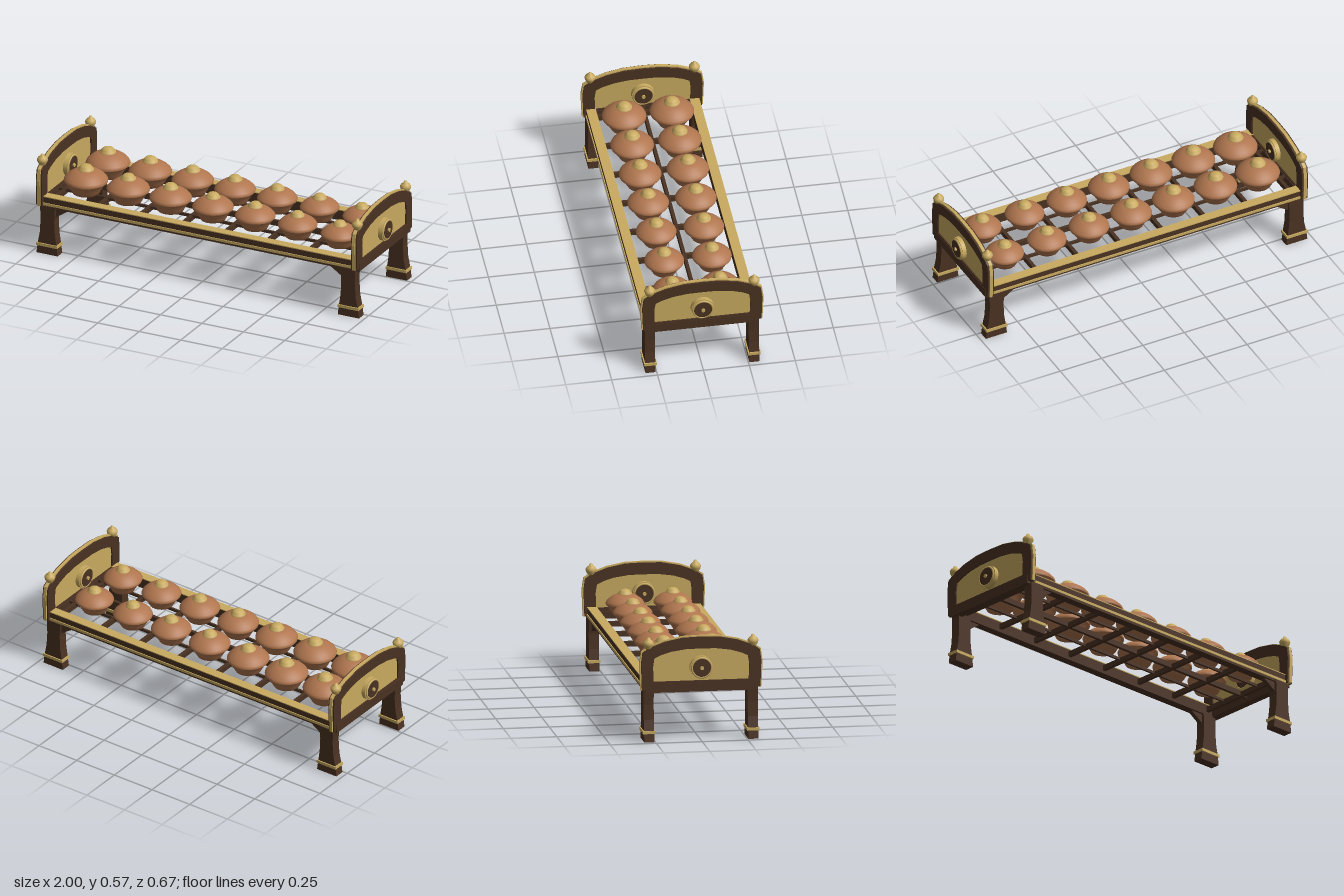
import * as THREE from 'three';

const mat = (name, color) => {
  const m = new THREE.MeshStandardMaterial({ color });
  m.name = name;
  return m;
};

export function createModel() {
  const wood = mat('dark wood', 0x4a3222);
  const gold = mat('gold', 0xc8aa60);
  const copper = mat('copper', 0xb0764f);
  const model = new THREE.Group();
  model.name = 'gongRack';

  const add = (parent, name, geo, m, x = 0, y = 0, z = 0) => {
    const mesh = new THREE.Mesh(geo, m);
    mesh.name = name;
    mesh.position.set(x, y, z);
    parent.add(mesh);
    return mesh;
  };
  // Box given by its limits on each axis
  const box = (parent, name, m, x0, x1, y0, y1, z0, z1) =>
    add(parent, name, new THREE.BoxGeometry(x1 - x0, y1 - y0, z1 - z0), m,
      (x0 + x1) / 2, (y0 + y1) / 2, (z0 + z1) / 2);
  const lathe = (pts, seg = 32) =>
    new THREE.LatheGeometry(pts.map(p => new THREE.Vector2(...p)), seg);
  // Symmetric outline from its right half, listed bottom to top centre
  const mirrored = half => {
    const left = half.filter(p => p[0] > 0).reverse().map(([a, b]) => [-a, b]);
    return [...half, ...left].map(p => new THREE.Vector2(...p));
  };
  // Outline in (z, y), thickened along x and centred on x
  const slab = (outline, depth, hole) => {
    const shape = new THREE.Shape(outline);
    if (hole) shape.holes.push(new THREE.Path(hole));
    return new THREE.ExtrudeGeometry(shape, { depth, bevelEnabled: false })
      .translate(0, 0, -depth / 2).rotateY(Math.PI / 2);
  };
  // Outline in (x, y), thickened along z and centred on z
  const plank = (pts, depth) =>
    new THREE.ExtrudeGeometry(new THREE.Shape(pts.map(p => new THREE.Vector2(...p))),
      { depth, bevelEnabled: false }).translate(0, 0, -depth / 2);

  const trimLine = mirrored([[0.329, 0.284], [0.335, 0.43], [0.325, 0.495], [0.285, 0.522],
    [0.2, 0.553], [0.1, 0.572], [0, 0.575]]);
  const frameLine = mirrored([[0.322, 0.284], [0.327, 0.43], [0.319, 0.49], [0.282, 0.516],
    [0.198, 0.547], [0.1, 0.566], [0, 0.569]]);
  const panelLine = mirrored([[0.259, 0.33], [0.262, 0.41], [0.255, 0.458], [0.22, 0.475],
    [0.16, 0.493], [0.08, 0.504], [0, 0.505]]);
  const finialGeo = lathe([[0, 0.498], [0.013, 0.498], [0.019, 0.512], [0.028, 0.528],
    [0.03, 0.54], [0.024, 0.551], [0.012, 0.56], [0.008, 0.569], [0, 0.573]], 20);
  const legGeo = plank([[0.844, 0], [0.972, 0], [0.965, 0.055], [0.952, 0.12], [0.947, 0.2],
    [0.95, 0.28], [0.86, 0.28], [0.865, 0.2], [0.861, 0.12], [0.851, 0.055]], 0.055);
  const bracketGeo = plank([[0.87, 0.215], [0.87, 0.28], [0.79, 0.28], [0.79, 0.268]], 0.025);

  // Carved end with its legs, built at +x
  const buildEnd = name => {
    const end = new THREE.Group();
    end.name = name;
    const cx = 0.949;
    add(end, 'endFrame', slab(frameLine, 0.036, panelLine), wood, cx);
    add(end, 'endTrim', slab(trimLine, 0.018, panelLine), gold, cx);
    add(end, 'endPanel', slab(panelLine, 0.02), gold, cx);
    box(end, 'endRail', wood, 0.926, 0.969, 0.27, 0.32, -0.301, 0.301);

    // Medallion that shows on both faces of the panel
    const disc = (part, r, half, m, seg = 32) =>
      add(end, part, new THREE.CylinderGeometry(r, r, half * 2, seg).rotateZ(Math.PI / 2), m, cx, 0.403, 0);
    disc('medallionBase', 0.063, 0.034, gold);
    disc('medallionFace', 0.049, 0.042, wood);
    disc('medallionKnob', 0.01, 0.051, gold, 16);
    for (const s of [-1, 1]) {
      add(end, 'medallionRing', new THREE.TorusGeometry(0.053, 0.006, 8, 32).rotateY(Math.PI / 2),
        gold, cx + s * 0.037, 0.403, 0);
    }
    for (const s of [-1, 1]) {
      add(end, 'finial', finialGeo, gold, cx, 0, s * 0.284);
      add(end, 'leg', legGeo, wood, 0, 0, s * 0.283);
      add(end, 'legBracket', bracketGeo, wood, 0, 0, s * 0.283);
      const z = s * 0.283;
      box(end, 'legCollar', gold, 0.845, 0.971, 0.045, 0.061, z - 0.034, z + 0.034);
    }
    return end;
  };
  const leftEnd = buildEnd('leftEnd');
  const rightEnd = buildEnd('rightEnd');
  rightEnd.rotation.y = Math.PI;
  model.add(leftEnd, rightEnd);

  // Long rails with gold top and outer stripe
  for (const s of [-1, 1]) {
    const z = s * 0.282;
    box(model, 'sideRail', wood, -0.95, 0.95, 0.272, 0.33, z - 0.024, z + 0.024);
    box(model, 'railCap', gold, -0.95, 0.95, 0.33, 0.335, z - 0.026, z + 0.026);
    const t = s * 0.306;
    box(model, 'railStripe', gold, -0.96, 0.96, 0.284, 0.298, t - 0.005, t + 0.005);
  }

  // Slats and lengthwise bars under the gongs
  for (let i = 0; i < 8; i++) {
    const x = -0.8925 + i * 0.255;
    box(model, 'crossSlat', wood, x - 0.01, x + 0.01, 0.29, 0.318, -0.262, 0.262);
  }
  box(model, 'centreBar', wood, -0.93, 0.93, 0.295, 0.325, -0.009, 0.009);
  for (const s of [-1, 1]) {
    box(model, 'supportBar', wood, -0.93, 0.93, 0.305, 0.32, s * 0.13 - 0.006, s * 0.13 + 0.006);
  }

  // Gongs, shrinking towards +x
  const bowlGeo = lathe([[0, 0], [0.072, 0], [0.084, 0.022], [0.104, 0.054], [0.118, 0.068]], 40);
  const domeGeo = lathe([[0.118, 0.068], [0.12, 0.077], [0.115, 0.088], [0.1, 0.104],
    [0.078, 0.12], [0.055, 0.131], [0.03, 0.136], [0, 0.137]], 40);
  const bossGeo = lathe([[0.043, 0.132], [0.043, 0.139], [0.037, 0.142], [0.035, 0.15],
    [0.026, 0.159], [0.013, 0.164], [0, 0.165]], 24);
  for (let i = 0; i < 7; i++) {
    for (const s of [-1, 1]) {
      const gong = new THREE.Group();
      gong.name = 'gong';
      gong.position.set(-0.765 + i * 0.255, 0.322, s * 0.13);
      gong.scale.setScalar(1 - i * 0.0215);
      add(gong, 'gongBowl', bowlGeo, copper);
      add(gong, 'gongDome', domeGeo, copper);
      add(gong, 'gongBoss', bossGeo, gold);
      model.add(gong);
    }
  }
  return model;
}
